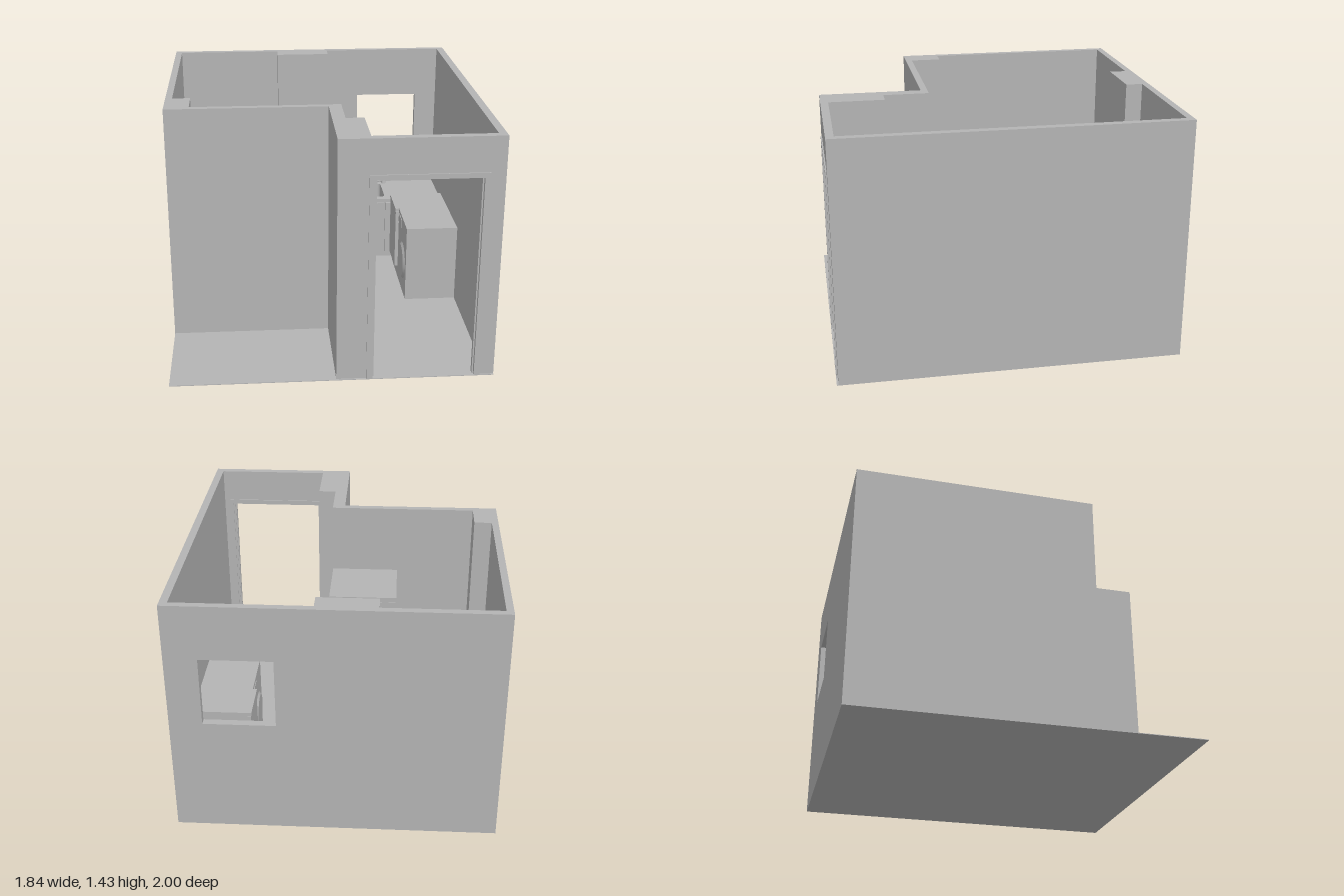
import * as THREE from 'three';

const H = 1.43; // wall height

export function createModel() {
  const model = new THREE.Group();
  const grey = new THREE.MeshStandardMaterial({ color: 0xb4b4b4 });
  grey.name = 'plain grey';

  const add = (name, geometry, parent = model) => {
    const mesh = new THREE.Mesh(geometry, grey);
    mesh.name = name;
    parent.add(mesh);
    return mesh;
  };
  const group = (name) => {
    const g = new THREE.Group();
    g.name = name;
    model.add(g);
    return g;
  };
  // Box given by its limits on each axis
  const box = (name, x0, x1, y0, y1, z0, z1, parent) => {
    const mesh = add(name, new THREE.BoxGeometry(x1 - x0, y1 - y0, z1 - z0), parent);
    mesh.position.set((x0 + x1) / 2, (y0 + y1) / 2, (z0 + z1) / 2);
    return mesh;
  };
  const toShape = (pts) => new THREE.Shape(pts.map(([x, y]) => new THREE.Vector2(x, y)));
  // Floor-plan outline (x, z) raised from y0 to y1
  const plan = (name, pts, y0, y1, parent, hole) => {
    const shape = toShape(pts.map(([x, z]) => [x, -z]));
    if (hole) shape.holes.push(hole);
    const geo = new THREE.ExtrudeGeometry(shape, { depth: y1 - y0, bevelEnabled: false, curveSegments: 5 });
    geo.rotateX(-Math.PI / 2).translate(0, y0, 0);
    return add(name, geo, parent);
  };
  // Front elevation shape given thickness along z
  const elevation = (name, shape, z0, z1, parent) =>
    add(name, new THREE.ExtrudeGeometry(shape, { depth: z1 - z0, bevelEnabled: false }).translate(0, 0, z0), parent);
  const rect = (x0, x1, z0, z1) => [[x0, z0], [x1, z0], [x1, z1], [x0, z1]];
  const roundedHole = (x0, x1, z0, z1, r) => {
    const p = new THREE.Path();
    const arc = (x, z, a) => p.absarc(x, -z, r, a, a + Math.PI / 2, false);
    arc(x1 - r, z0 + r, 0);
    arc(x0 + r, z0 + r, Math.PI / 2);
    arc(x0 + r, z1 - r, Math.PI);
    arc(x1 - r, z1 - r, Math.PI * 1.5);
    p.closePath();
    return p;
  };
  const tube = (name, pts, r, parent) => add(name, new THREE.TubeGeometry(
    new THREE.CatmullRomCurve3(pts.map((p) => new THREE.Vector3(...p))), 20, r, 10), parent);

  // Floor
  box('floor', -0.92, 0.92, 0, 0.004, -1, 1);

  // Walls
  const walls = group('walls');
  const back = toShape([[-0.92, 0], [0.92, 0], [0.92, H], [-0.92, H]]);
  back.holes.push(new THREE.Path(
    [[0.326, 0.7], [0.326, 1.11], [0.733, 1.11], [0.733, 0.7]].map((p) => new THREE.Vector2(...p))));
  elevation('backWall', back, -1, -0.96, walls);
  const front = toShape([[0.02, 0], [0.225, 0], [0.225, 1.2], [0.805, 1.2], [0.805, 0], [0.92, 0], [0.92, H], [0.02, H]]);
  elevation('frontWall', front, 0.945, 0.99, walls);
  box('rightWall', 0.875, 0.92, 0, H, -0.96, 0.945, walls);
  plan('steppedWall', [[-0.92, -0.96], [-0.88, -0.96], [-0.88, 0.165], [-0.775, 0.165], [-0.775, 0.35],
    [0.095, 0.35], [0.095, 0.62], [0.2, 0.62], [0.2, 0.945], [0.02, 0.945], [0.02, 0.39], [-0.92, 0.39]], 0, H, walls);
  box('backColumn', -0.23, 0.11, 0, H, -0.96, -0.86, walls);

  // Door frame: casing on both faces and a thin stop inside the opening
  const frame = group('doorFrame');
  const arch = (x0, x1, top, t, headT) => toShape([[x0, 0], [x0 + t, 0], [x0 + t, top - headT],
    [x1 - t, top - headT], [x1 - t, 0], [x1, 0], [x1, top], [x0, top]]);
  elevation('outerCasing', arch(0.19, 0.84, 1.228, 0.035, 0.028), 0.99, 0.998, frame);
  elevation('innerCasing', arch(0.202, 0.84, 1.228, 0.023, 0.028), 0.938, 0.945, frame);
  elevation('doorStop', arch(0.225, 0.805, 1.2, 0.008, 0.006), 0.95, 0.975, frame);

  // Refrigerator on small feet, its door facing the back
  const fridge = group('refrigerator');
  box('fridgeBody', -0.315, 0.095, 0.03, 0.98, -0.02, 0.349, fridge);
  box('fridgeTop', -0.315, 0.095, 0.98, 1.01, -0.045, 0.349, fridge);
  box('freezerDoor', -0.312, 0.092, 0.68, 0.975, -0.04, -0.02, fridge);
  box('fridgeDoor', -0.312, 0.092, 0.04, 0.67, -0.04, -0.02, fridge);
  for (const x of [-0.29, 0.07]) {
    for (const z of [0, 0.325]) {
      add('fridgeFoot', new THREE.CylinderGeometry(0.012, 0.014, 0.03, 12), fridge).position.set(x, 0.015, z);
    }
  }

  // Sink unit with recessed basin
  const sink = group('sinkUnit');
  const basin = () => roundedHole(0.175, 0.495, -0.905, -0.655, 0.02);
  plan('sinkCounter', rect(0.11, 0.875, -0.96, -0.605), 0.44, 0.46, sink, basin());
  plan('sinkCabinet', rect(0.112, 0.875, -0.96, -0.625), 0.06, 0.44, sink, basin());
  box('basinFloor', 0.17, 0.5, 0.33, 0.34, -0.91, -0.65, sink);
  box('sinkPlinth', 0.12, 0.87, 0, 0.06, -0.95, -0.66, sink);
  for (const [x0, x1, h0, h1] of [[0.115, 0.488, 0.21, 0.385], [0.496, 0.872, 0.6, 0.77]]) {
    box('sinkCabinetDoor', x0, x1, 0.062, 0.427, -0.625, -0.61, sink);
    tube('sinkDoorHandle', [[h0, 0.39, -0.61], [h0 + 0.008, 0.39, -0.594],
      [h1 - 0.008, 0.39, -0.594], [h1, 0.39, -0.61]], 0.005, sink);
  }

  // Tap
  const tap = group('tap');
  add('tapBase', new THREE.CylinderGeometry(0.013, 0.018, 0.03, 16), tap).position.set(0.52, 0.475, -0.925);
  tube('tapSpout', [[0.52, 0.48, -0.925], [0.51, 0.525, -0.918], [0.485, 0.55, -0.9],
    [0.455, 0.552, -0.876], [0.432, 0.54, -0.858], [0.425, 0.52, -0.852]], 0.011, tap);
  tube('tapLever', [[0.52, 0.478, -0.925], [0.495, 0.478, -0.92], [0.465, 0.474, -0.915]], 0.006, tap);

  // Right-hand run: cabinet beside a washing machine
  const run = group('rightRun');
  box('cabinetBody', 0.55, 0.875, 0, 0.5, -0.585, -0.32, run);
  box('cabinetTop', 0.525, 0.55, 0.48, 0.5, -0.585, -0.32, run);
  box('cabinetDoor', 0.528, 0.55, 0.08, 0.475, -0.582, -0.323, run);
  box('washerBody', 0.55, 0.875, 0, 0.5, -0.32, 0.03, run);
  const washerDoor = add('washerDoor', new THREE.CylinderGeometry(0.105, 0.122, 0.012, 40), run);
  washerDoor.rotation.z = Math.PI / 2;
  washerDoor.position.set(0.544, 0.215, -0.125);
  box('washerDrawer', 0.546, 0.55, 0.42, 0.475, -0.305, -0.18, run);

  // Low sideboard with two handles and two rounded ornaments
  const sideboard = group('sideboard');
  box('sideboardBody', -0.88, -0.545, 0.03, 0.48, -0.58, -0.07, sideboard);
  box('sideboardTop', -0.88, -0.53, 0.48, 0.5, -0.585, -0.065, sideboard);
  box('sideboardPlinth', -0.88, -0.56, 0, 0.03, -0.57, -0.08, sideboard);
  for (const [z0, z1, h] of [[-0.578, -0.328, -0.43], [-0.322, -0.072, -0.195]]) {
    box('sideboardDoor', -0.545, -0.532, 0.035, 0.475, z0, z1, sideboard);
    box('sideboardHandle', -0.532, -0.518, 0.36, 0.37, h - 0.022, h + 0.022, sideboard);
  }
  for (const [x, z, rx, ry, rz] of [[-0.61, -0.435, 0.045, 0.03, 0.066], [-0.775, -0.178, 0.032, 0.025, 0.046]]) {
    const stone = add('ornament', new THREE.SphereGeometry(1, 24, 14), sideboard);
    stone.scale.set(rx, ry, rz);
    stone.position.set(x, 0.5 + ry * 0.8, z);
  }

  return model;
}
